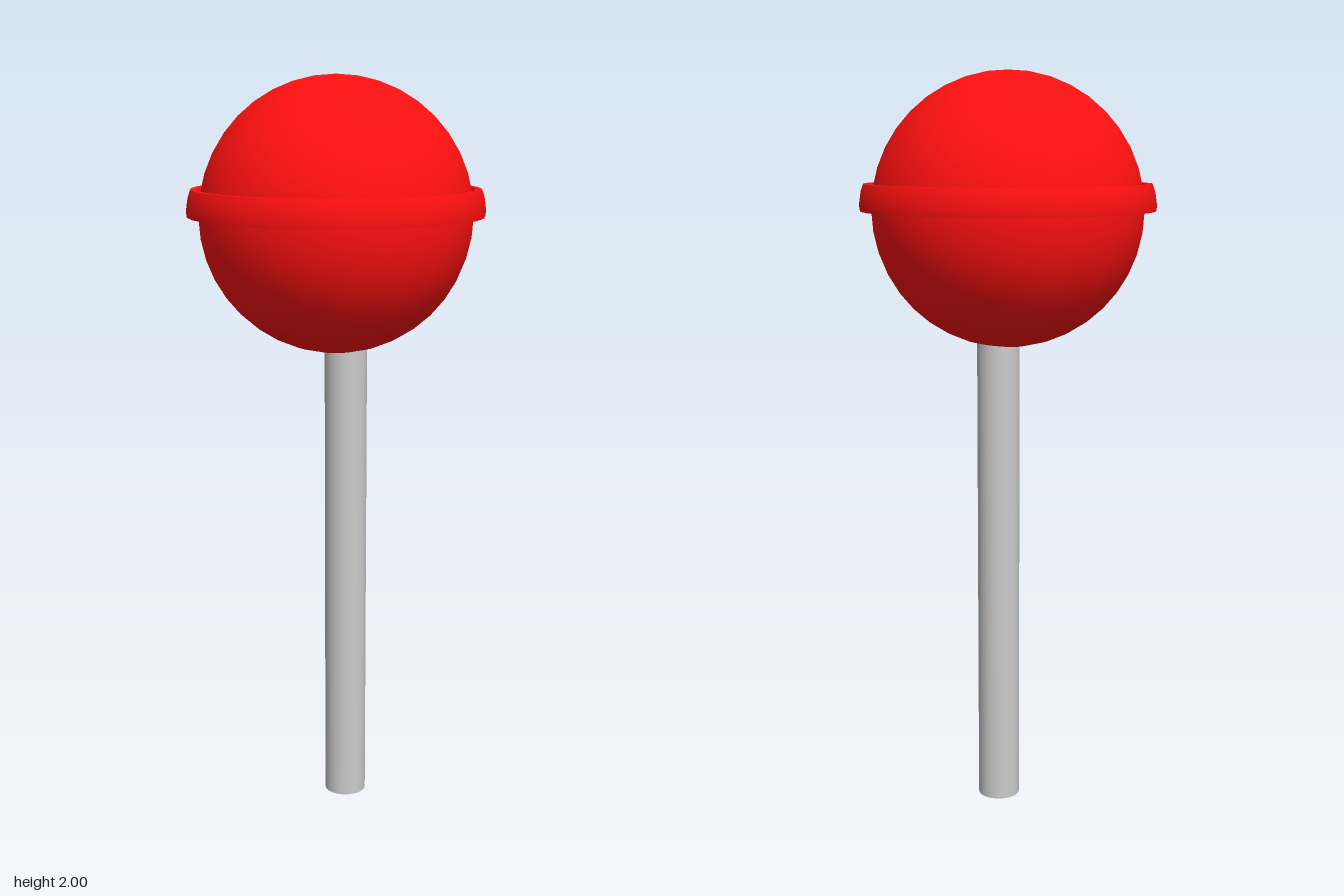
import * as THREE from 'three';
import { toCreasedNormals } from 'three/addons/utils/BufferGeometryUtils.js';

const SIDES = 32;
const CANDY_Y = 1.64;
const CANDY_R = 0.36;

export function createModel() {
  const model = new THREE.Group();
  const red = new THREE.MeshStandardMaterial({ color: 0xff1010 });
  const grey = new THREE.MeshStandardMaterial({ color: 0xcccccc, side: THREE.DoubleSide });

  const add = (name, geometry, material, x, y, z) => {
    const mesh = new THREE.Mesh(geometry, material);
    mesh.name = name;
    mesh.position.set(x, y, z);
    model.add(mesh);
  };

  // Round candy
  add('candyBall', new THREE.SphereGeometry(CANDY_R, SIDES, 20), red, 0, CANDY_Y, 0);

  // Slightly tapered rim just above the equator, closed where it meets the ball
  const rim = [
    [0.345, 0], [0.39, 0], [0.392, 0.015], [0.387, 0.05], [0.38, 0.07], [0.363, 0.07], [0.355, 0.05],
  ].map(([r, y]) => new THREE.Vector2(r, y));
  const rimGeometry = toCreasedNormals(new THREE.LatheGeometry(rim, SIDES), 0.6);
  add('candyRim', rimGeometry, red, 0, CANDY_Y, 0);

  // Hollow stick, a little off centre, running up into the candy
  const stickHeight = 1.32;
  const stick = new THREE.CylinderGeometry(0.057, 0.057, stickHeight, SIDES, 1, true);
  add('stick', stick, grey, 0.026, stickHeight / 2, -0.01);

  return model;
}
